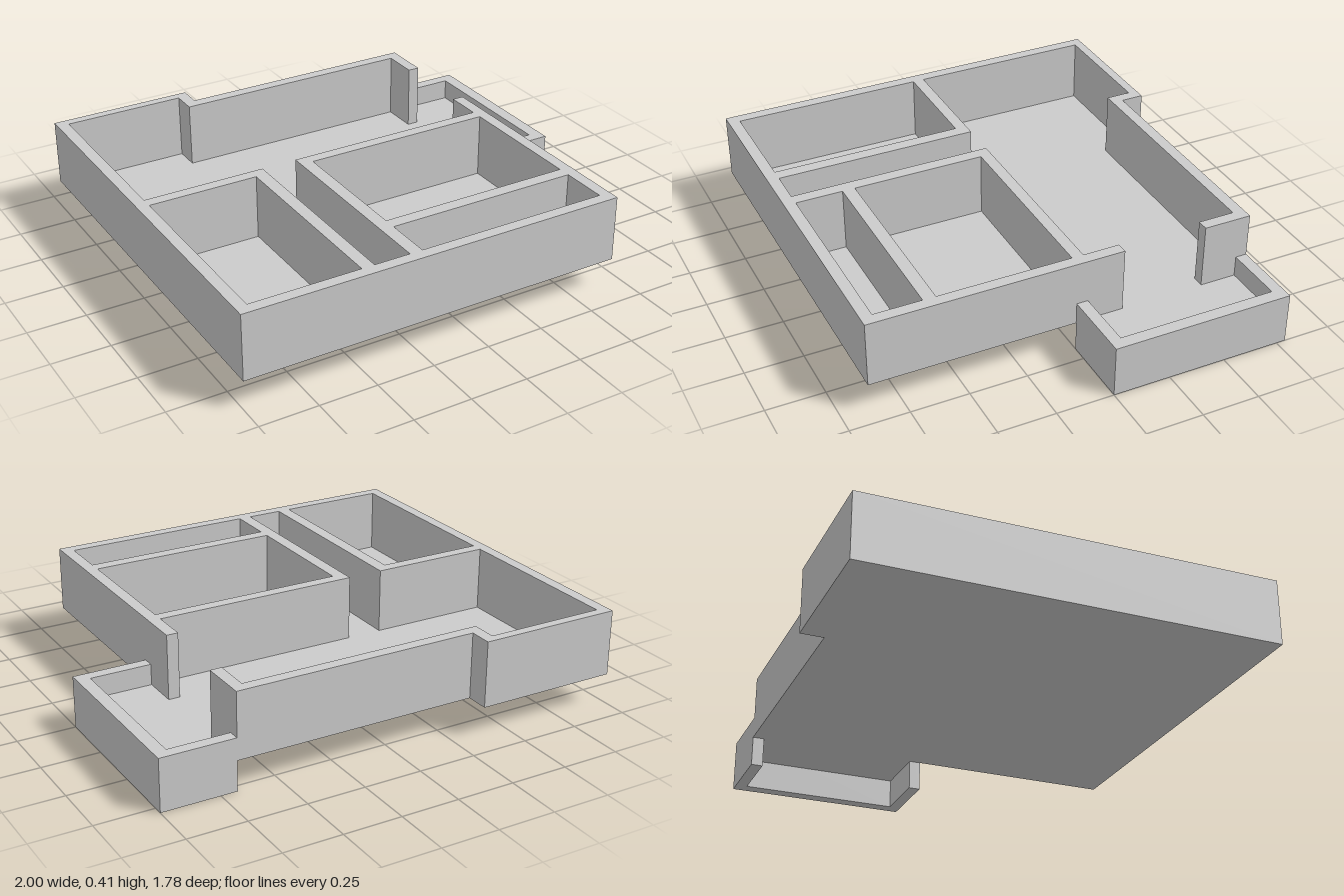
import * as THREE from 'three';

const material = new THREE.MeshStandardMaterial({ color: 0xcccccc, flatShading: true });
const toPoints = (list) => list.map(([x, z]) => new THREE.Vector2(x, z));
const rectangle = (x0, x1, z0, z1) => toPoints([[x0, z0], [x1, z0], [x1, z1], [x0, z1]]);

// Raises a plan outline (x, z), with optional holes, from y = bottom to y = top.
function raise(name, plan, bottom, top, holes = []) {
  const shape = new THREE.Shape(toPoints(plan));
  for (const hole of holes) shape.holes.push(new THREE.Path(hole));
  const geometry = new THREE.ExtrudeGeometry(shape, { depth: top - bottom, bevelEnabled: false });
  geometry.rotateX(Math.PI / 2).translate(0, top, 0);
  const mesh = new THREE.Mesh(geometry, material);
  mesh.name = name;
  return mesh;
}

export function createModel() {
  const group = new THREE.Group();
  group.name = 'floorPlan';
  const base = 0.13;

  // House walls: outer face, doorway to the balcony, inner face with the corridor
  const walls = [
    [-1, -0.89], [-0.375, -0.89], [-0.375, -0.79], [0.68, -0.79],
    [0.68, -0.58], [0.63, -0.58],
    [0.63, -0.74], [-0.425, -0.74], [-0.425, -0.85], [-0.95, -0.85],
    [-0.95, -0.05], [-0.42, -0.05], [-0.42, 0.84], [-0.265, 0.84],
    [-0.265, -0.05], [0.63, -0.05],
    [0.63, -0.21], [0.68, -0.21], [0.68, 0.89], [-1, 0.89],
  ];
  const rooms = [
    rectangle(-0.95, -0.475, 0, 0.84),
    rectangle(-0.21, 0.63, 0, 0.58),
    rectangle(-0.21, 0.63, 0.635, 0.84),
  ];
  group.add(raise('houseWalls', walls, base, 0.415, rooms));

  // Low U-shaped wall around the balcony
  group.add(raise('balconyWall', [
    [0.68, -0.79], [1, -0.79], [1, 0], [0.68, 0],
    [0.68, -0.05], [0.945, -0.05], [0.945, -0.74], [0.68, -0.74],
  ], 0, 0.225));

  // Thin floor running through the house and out onto the balcony
  group.add(raise('floor', [
    [-0.95, -0.85], [-0.425, -0.85], [-0.425, -0.74], [0.945, -0.74],
    [0.945, -0.05], [0.63, -0.05], [0.63, 0.84], [-0.95, 0.84],
  ], base, base + 0.004));

  return group;
}
